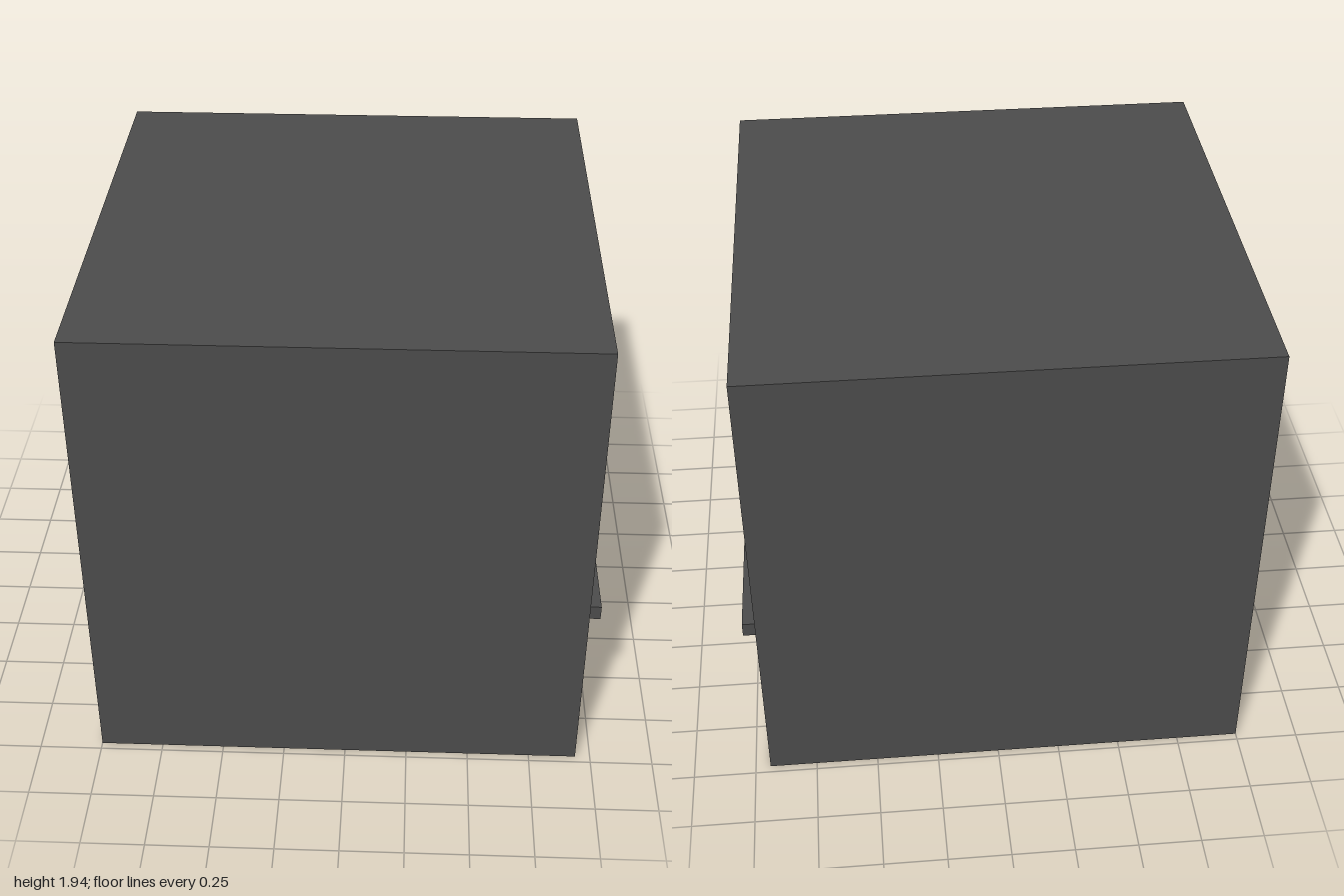
import * as THREE from 'three';

const SIZE = 1.94, FACE = 0.94, FRAME = 0.88, GLASS = 0.82;

const wallMat = new THREE.MeshStandardMaterial({ color: 0x4b4b4b });
wallMat.name = 'dark grey wall';
const glassMat = new THREE.MeshStandardMaterial({ color: 0xcacaca });
glassMat.name = 'pale glass';

// Rectangles are { z0, z1, y0, y1 } on planes facing +x
const outer = { z0: -0.97, z1: 0.97, y0: 0, y1: SIZE };
const opening = { z0: -0.79, z1: 0.79, y0: 0.7, y1: 1.7 };
const panes = [
  { z0: 0.03, z1: 0.73, y0: 0.73, y1: 1.64 },
  { z0: -0.73, z1: -0.03, y0: 0.73, y1: 1.64 },
];

function trace(path, r) {
  path.moveTo(-r.z1, r.y0).lineTo(-r.z0, r.y0).lineTo(-r.z0, r.y1).lineTo(-r.z1, r.y1);
  path.closePath();
  return path;
}

// Flat sheet facing +x with rectangular holes
function sheet(rect, holes, x) {
  const shape = trace(new THREE.Shape(), rect);
  holes.forEach((h) => shape.holes.push(trace(new THREE.Path(), h)));
  return new THREE.ShapeGeometry(shape).rotateY(Math.PI / 2).translate(x, 0, 0);
}

function box(rect, x0, x1) {
  return new THREE.BoxGeometry(x1 - x0, rect.y1 - rect.y0, rect.z1 - rect.z0);
}

function place(geo, rect, x0, x1) {
  return geo.translate((x0 + x1) / 2, (rect.y0 + rect.y1) / 2, (rect.z0 + rect.z1) / 2);
}

// Keeps the box faces from a given one on (faces 0 and 1 are +x and -x)
function dropFaces(geo, count) {
  geo.setIndex(Array.from(geo.index.array).slice(count * 6));
  geo.clearGroups();
  return geo;
}

// Four inward-facing sides of a recess
function reveal(rect, x0, x1) {
  const geo = dropFaces(box(rect, x0, x1), 2).scale(-1, 1, 1);
  geo.computeVertexNormals();
  return place(geo, rect, x0, x1);
}

export function createModel() {
  const group = new THREE.Group();
  group.name = 'windowBlock';
  const add = (name, geo, mat = wallMat) => {
    const mesh = new THREE.Mesh(geo, mat);
    mesh.name = name;
    group.add(mesh);
  };

  // Wall block, with its window side cut open
  add('wallBlock', place(dropFaces(box(outer, -1, FACE), 1), outer, -1, FACE));
  add('windowWall', sheet(outer, [opening], FACE));
  add('windowReveal', reveal(opening, FRAME, FACE));

  // Frame with centre mullion and recessed panes
  add('windowFrame', sheet(opening, panes, FRAME));
  panes.forEach((p, i) => {
    const side = i ? 'Back' : 'Front';
    add('frameReveal' + side, reveal(p, GLASS, FRAME));
    add('pane' + side, sheet(p, [], GLASS), glassMat);
  });

  // Projecting sill
  const sill = { z0: -0.85, z1: 0.85, y0: 0.64, y1: 0.7 };
  add('windowSill', place(box(sill, FACE, 1), sill, FACE, 1));

  return group;
}
